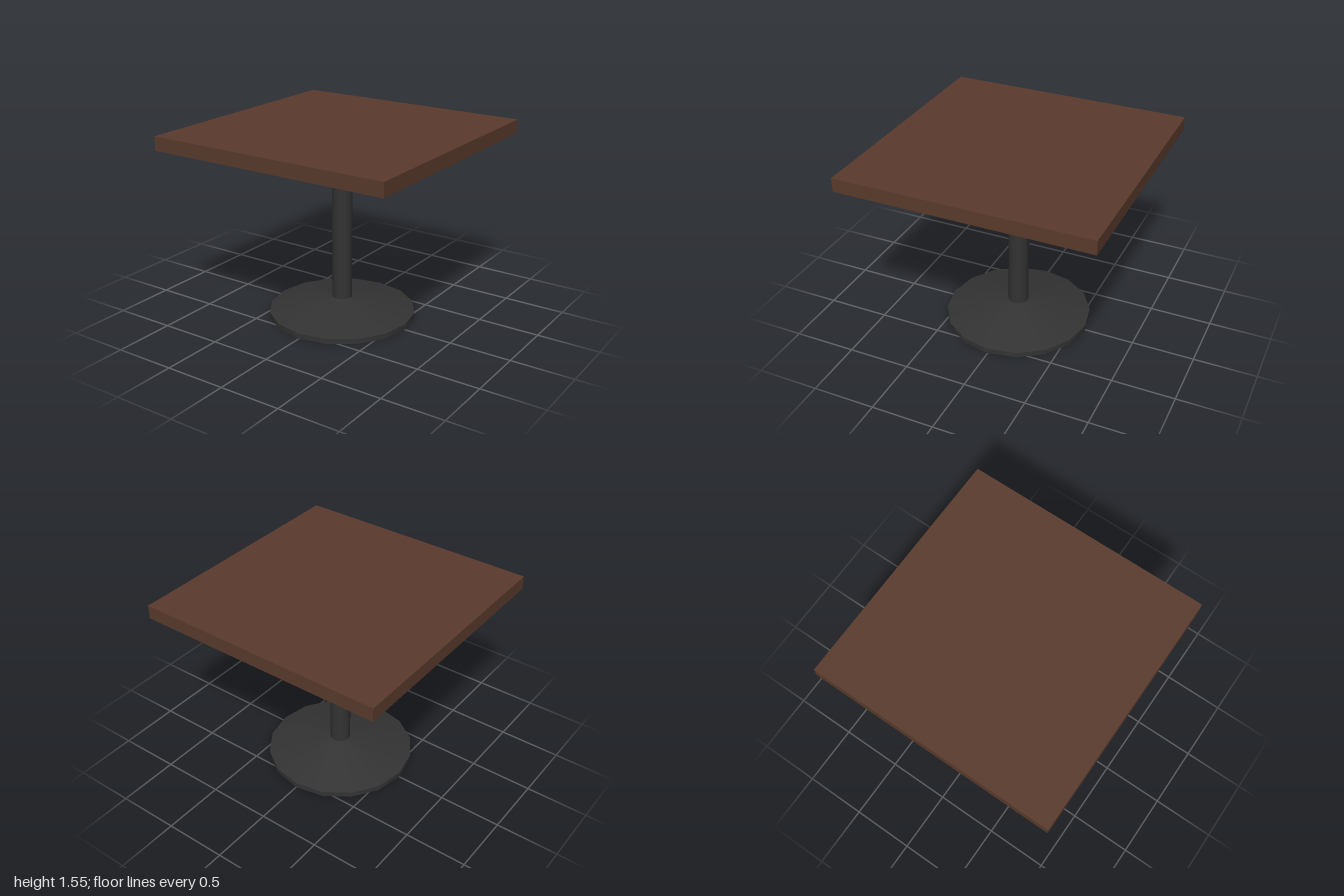
import * as THREE from 'three';

export function createModel() {
  const model = new THREE.Group();
  model.name = 'pedestalTable';
  const wood = new THREE.MeshStandardMaterial({ name: 'brown wood', color: 0x5a3b2c });
  const metal = new THREE.MeshStandardMaterial({ name: 'dark metal', color: 0x333333 });

  const add = (name, geometry, material, x = 0, y = 0, z = 0, parent = model) => {
    const mesh = new THREE.Mesh(geometry, material);
    mesh.name = name;
    mesh.position.set(x, y, z);
    parent.add(mesh);
    return mesh;
  };

  // Square table top
  add('tableTop', new THREE.BoxGeometry(2, 0.11, 2), wood, 0, 1.495, 0);

  // Round foot: upright rim with a shallow cone above it
  add('baseRim', new THREE.CylinderGeometry(0.594, 0.594, 0.043, 16), metal, 0, 0.0215, 0);
  add('baseCone', new THREE.CylinderGeometry(0.08, 0.594, 0.104, 16, 1, true), metal, 0, 0.095, 0);

  // Column
  add('column', new THREE.CylinderGeometry(0.082, 0.082, 1.34, 16), metal, 0, 0.77, 0);

  // Crossed support bars with rounded ends, and their screws
  const half = 0.49, r = 0.024;
  const outline = new THREE.Shape();
  outline.absarc(half - r, 0, r, -Math.PI / 2, Math.PI / 2);
  outline.absarc(-half + r, 0, r, Math.PI / 2, Math.PI * 1.5);
  const barGeometry = new THREE.ExtrudeGeometry(outline, {
    depth: 0.024, bevelEnabled: false, curveSegments: 6,
  }).rotateX(-Math.PI / 2);
  const screwGeometry = new THREE.CylinderGeometry(0.012, 0.009, 0.008, 8);

  for (let i = 0; i < 2; i++) {
    const support = new THREE.Group();
    support.name = i ? 'supportBarDepth' : 'supportBarWidth';
    support.rotation.y = i * Math.PI / 2;
    model.add(support);
    add('bar', barGeometry, metal, 0, 1.412, 0, support);
    for (const x of [-0.44, -0.235, 0.235, 0.44]) {
      add('screw', screwGeometry, metal, x, 1.409, 0, support);
    }
  }
  return model;
}
